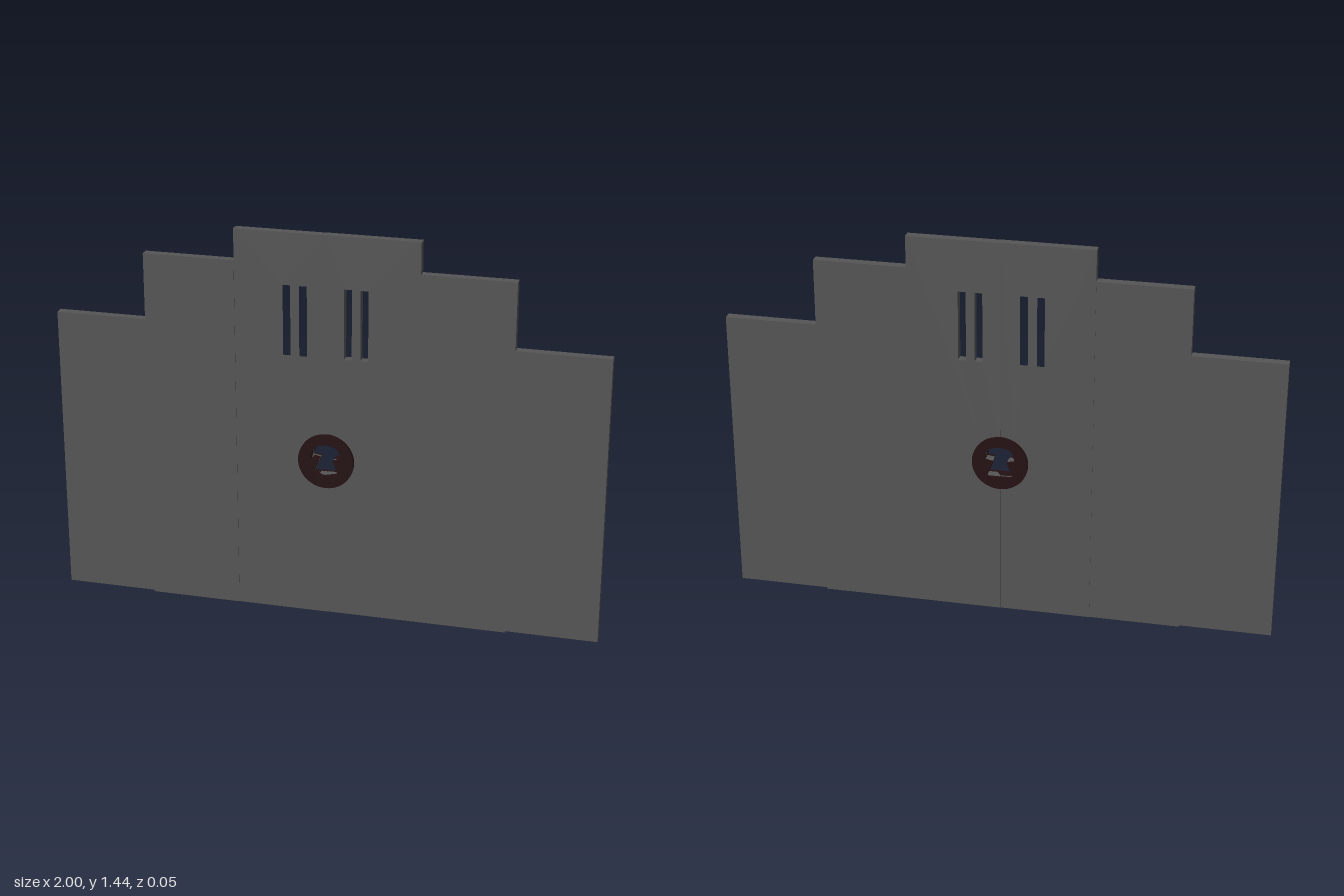
import * as THREE from 'three';

const THICK = 0.033;
const panelMat = new THREE.MeshStandardMaterial({ color: 0x555555 });
const plateMat = new THREE.MeshStandardMaterial({ color: 0x241012 });

// Right half of the keyhole, from the bottom centre up to the top centre
const KEYHOLE = [[0, 0.548], [0.047, 0.548], [0.026, 0.608], [0.053, 0.613],
  [0.052, 0.635], [0.042, 0.654], [0.022, 0.664], [0, 0.666]];

const toPoints = (list, s = 1) => list.map(([x, y]) => new THREE.Vector2(s * x, y));

function slab(shape, depth, z, name, material) {
  const geo = new THREE.ExtrudeGeometry(shape, { depth, bevelEnabled: false, curveSegments: 24 });
  geo.translate(0, 0, z - depth / 2);
  const mesh = new THREE.Mesh(geo, material);
  mesh.name = name;
  return mesh;
}

function rectangle(x0, x1, y0, y1) {
  return [[x0, y0], [x1, y0], [x1, y1], [x0, y1]];
}

export function createModel() {
  const model = new THREE.Group();
  model.name = 'steppedGate';

  for (const s of [-1, 1]) {
    const side = s > 0 ? 'left' : 'right';

    // Inner board: half of the keyhole is cut from its inner edge, plus two slots
    const inner = new THREE.Shape(toPoints(
      [[0, 0], [1 / 3, 0], [1 / 3, 1.44], [0, 1.44], ...KEYHOLE.slice().reverse()], s));
    const slots = s > 0 ? [[0.063, 0.091], [0.122, 0.15]] : [[0.07, 0.098], [0.13, 0.157]];
    for (const [a, b] of slots) {
      inner.holes.push(new THREE.Path(toPoints(rectangle(a, b, 0.992, 1.25), s)));
    }
    model.add(slab(inner, THICK, s > 0 ? -0.002 : 0, side + 'InnerBoard', panelMat));

    // Middle and outer boards step down; the boards lie slightly out of line at the seams
    const z = s > 0 ? -0.002 : 0.002;
    const middle = new THREE.Shape(toPoints(rectangle(1 / 3, 2 / 3, 0, 1.325), s));
    model.add(slab(middle, THICK, z, side + 'MiddleBoard', panelMat));
    const outer = new THREE.Shape(toPoints(rectangle(2 / 3, 1, 0.006, 1.08), s));
    model.add(slab(outer, THICK, z, side + 'OuterBoard', panelMat));
  }

  // Round lock plate, standing proud on both faces, with the keyhole through it
  const plate = new THREE.Shape();
  plate.absarc(0, 0.603, 0.102, 0, Math.PI * 2);
  const leftHalf = KEYHOLE.slice(1, -1).reverse().map(([x, y]) => [-x, y]);
  plate.holes.push(new THREE.Path(toPoints([...KEYHOLE, ...leftHalf])));
  model.add(slab(plate, 0.055, 0, 'lockPlate', plateMat));

  return model;
}
